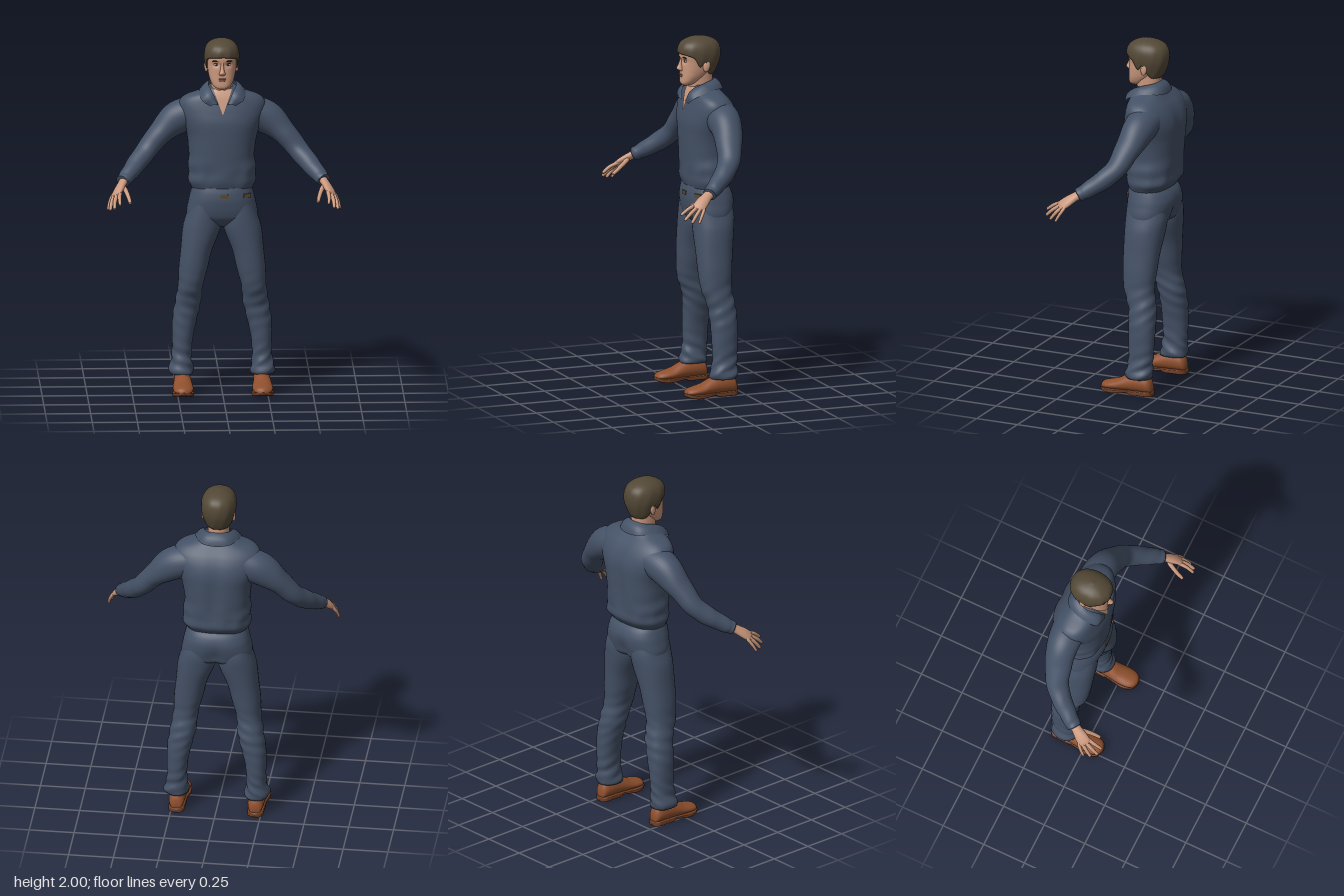
import * as THREE from 'three';
import { ParametricGeometry } from 'three/addons/geometries/ParametricGeometry.js';

const V = (x, y, z) => new THREE.Vector3(x, y, z);
const mat = (name, color, side = THREE.FrontSide) => {
  const m = new THREE.MeshStandardMaterial({ color, side });
  m.name = name;
  return m;
};
const bump = (d, w) => Math.exp(-(d * d) / (w * w));

// Smooth interpolation of rows [key, value, value, ...] sorted by key.
function profile(rows) {
  return (k) => {
    let i = 0;
    while (i < rows.length - 2 && k > rows[i + 1][0]) i++;
    const a = rows[i], b = rows[i + 1], p = rows[Math.max(i - 1, 0)], n = rows[Math.min(i + 2, rows.length - 1)];
    const h = b[0] - a[0], t = THREE.MathUtils.clamp((k - a[0]) / h, 0, 1), t2 = t * t, t3 = t2 * t;
    return a.slice(1).map((av, j) => {
      const bv = b[j + 1];
      const ma = (bv - p[j + 1]) / (b[0] - p[0]) * h, mb = (n[j + 1] - av) / (n[0] - a[0]) * h;
      return (2 * t3 - 3 * t2 + 1) * av + (t3 - 2 * t2 + t) * ma + (3 * t2 - 2 * t3) * bv + (t3 - t2) * mb;
    });
  };
}

// Superellipse point on the unit ring.
const ring = (a, e) => [Math.cos(a), Math.sin(a)].map((c) => Math.sign(c) * Math.abs(c) ** (2 / e));

// Closed skin of rings: fn(angle, v) gives a point; both ends are capped.
function skinRings(nu, nv, fn) {
  const pos = [], idx = [];
  const ends = [V(0, 0, 0), V(0, 0, 0)];
  for (let j = 0; j <= nv; j++) for (let i = 0; i < nu; i++) {
    const p = fn((i / nu) * Math.PI * 2, j / nv);
    pos.push(p.x, p.y, p.z);
    if (j === 0) ends[0].addScaledVector(p, 1 / nu);
    if (j === nv) ends[1].addScaledVector(p, 1 / nu);
  }
  ends.forEach((p) => pos.push(p.x, p.y, p.z));
  const c = (nv + 1) * nu;
  for (let i = 0; i < nu; i++) {
    const k = (i + 1) % nu;
    for (let j = 0; j < nv; j++) {
      const a = j * nu + i, b = j * nu + k;
      idx.push(a, b, a + nu, b, b + nu, a + nu);
    }
    idx.push(c, k, i, c + 1, nv * nu + i, nv * nu + k);
  }
  // Turn the faces outward
  let vol = 0;
  const P = (i) => V(pos[3 * i], pos[3 * i + 1], pos[3 * i + 2]);
  for (let i = 0; i < idx.length; i += 3) vol += P(idx[i]).dot(P(idx[i + 1]).cross(P(idx[i + 2])));
  if (vol < 0) idx.reverse();
  const g = new THREE.BufferGeometry();
  g.setAttribute('position', new THREE.Float32BufferAttribute(pos, 3));
  g.setIndex(idx);
  g.computeVertexNormals();
  return g;
}

// Upright loft from rows [y, centreX, halfWidth, zFront, zBack].
function upright(rows, { s = 1, e = 2.3, nu = 40, nv = 40, tweak } = {}) {
  const f = profile(rows), y0 = rows[0][0], y1 = rows[rows.length - 1][0];
  return skinRings(nu, nv, (a, v) => {
    const y = y0 + (y1 - y0) * v, [cx, rx, zf, zb] = f(y), [c, d] = ring(a, e);
    const p = V(s * (cx + rx * c), y, (zf + zb) / 2 + d * (zf - zb) / 2);
    if (tweak) tweak(p, a);
    return p;
  });
}

// Limb along rows [x, y, z, radiusAlongRef, radiusAcross], mirrored by s.
function limb(rows, ref, s = 1, nu = 20, nv = 24, fold = 0) {
  const curve = new THREE.CatmullRomCurve3(rows.map((r) => V(r[0], r[1], r[2])));
  const radii = profile(rows.map((r, i) => [i / (rows.length - 1), r[3], r[4]]));
  return skinRings(nu, nv, (a, v) => {
    const t = curve.getTangent(v), [ru, rv] = radii(v);
    const u = ref.clone().addScaledVector(t, -ref.dot(t)).normalize(), w = t.clone().cross(u);
    const k = 1 + fold * Math.sin(v * 34 + 2 * Math.sin(a)) * v;
    const p = curve.getPoint(v).addScaledVector(u, ru * k * Math.cos(a)).addScaledVector(w, rv * k * Math.sin(a));
    p.x *= s;
    return p;
  });
}

export function createModel() {
  const model = new THREE.Group();
  model.name = 'standingMan';
  const cloth = mat('blueCloth', 0x445166, THREE.DoubleSide), skin = mat('skin', 0xc9977c, THREE.DoubleSide);
  const hairMat = mat('darkHair', 0x534836), leather = mat('brownLeather', 0x8f4f2d), soleMat = mat('darkSole', 0x6f3d24);
  const dark = mat('darkFeature', 0x2e241e), white = mat('eyeWhite', 0xd6ccc2), lipMat = mat('lips', 0xa86c5a);
  const brass = mat('dullBrass', 0x5a4a30);
  const add = (name, geo, m, parent = model) => {
    const mesh = new THREE.Mesh(geo, m);
    mesh.name = name;
    parent.add(mesh);
    return mesh;
  };
  const blob = (name, m, parent, x, y, z, sx, sy, sz) => {
    const b = add(name, new THREE.SphereGeometry(1, 16, 10), m, parent);
    b.position.set(x, y, z);
    b.scale.set(sx, sy, sz);
    return b;
  };

  // Shirt body, with a bloused waist and a groove down the back
  const torsoRows = [[1.14, 0, .16, 0, -.205], [1.165, 0, .172, .01, -.225], [1.2, 0, .19, .018, -.252],
    [1.25, 0, .187, .02, -.255], [1.35, -.003, .183, .026, -.262], [1.45, 0, .195, .03, -.268], [1.53, 0, .222, .03, -.268],
    [1.59, 0, .24, .018, -.252], [1.64, 0, .236, .005, -.225], [1.675, 0, .2, -.005, -.195], [1.7, 0, .13, -.015, -.175],
    [1.73, 0, .07, -.03, -.16]];
  add('shirtBody', upright(torsoRows, { e: 2.4, nu: 56, nv: 60, tweak: (p, a) => {
    if (Math.sin(a) < 0) p.z += .016 * bump(p.x, .035) * bump(p.y - 1.4, .2);
    p.z += .004 * Math.sin(a * 9) * bump(p.y - 1.22, .06);
    p.x += .004 * Math.sin(p.y * 55 + a) * bump(p.y - 1.25, .09);
  } }), cloth);
  const torso = profile(torsoRows);
  const torsoZ = (x, y) => {
    const [cx, rx, zf, zb] = torso(y);
    return (zf + zb) / 2 + (zf - zb) / 2 * (1 - Math.min(1, Math.abs((x - cx) / rx)) ** 2.4) ** (1 / 2.4);
  };

  // Open neckline
  add('openNeck', new ParametricGeometry((u, v, p) => {
    const y = 1.58 + .14 * v, x = (u - .5) * .104 * v;
    p.set(x, y, torsoZ(x, y) + .007);
  }, 8, 12), skin);

  // Folded collar, swept from one front point round the neck to the other
  const around = (pts) => new THREE.CatmullRomCurve3([
    ...pts.slice(1).reverse().map((p) => V(-p[0], p[1], p[2])), ...pts.map((p) => V(...p))]);
  const inner = around([[0, 1.762, -.15], [.055, 1.758, -.132], [.077, 1.742, -.07], [.056, 1.705, 0], [.025, 1.638, .021]]);
  const outer = around([[0, 1.7, -.198], [.08, 1.706, -.18], [.125, 1.708, -.09], [.115, 1.662, .012], [.07, 1.632, .021]]);
  add('collar', new ParametricGeometry((u, v, p) => {
    p.lerpVectors(inner.getPoint(u), outer.getPoint(u), v);
    p.z += .008 * Math.sin(v * Math.PI) * (u > .25 && u < .75 ? -1 : 1);
    p.y += .008 * Math.sin(v * Math.PI);
  }, 40, 6), cloth);

  // Trouser seat and waist buckles
  const hipRows = [[.935, 0, .06, -.06, -.15], [.965, 0, .165, -.02, -.215], [1, 0, .196, .004, -.234],
    [1.08, 0, .186, .02, -.25], [1.13, 0, .174, .018, -.238], [1.17, 0, .162, .008, -.21]];
  add('trouserSeat', upright(hipRows, { e: 2.4, tweak: (p, a) => {
    if (Math.sin(a) < 0) p.z += .02 * bump(p.x, .03) * bump(p.y - 1.0, .07);
  } }), cloth);
  for (const [x, z, turn] of [[.01, .019, 0], [.135, -.012, .45]]) {
    const b = add('waistBuckle', new THREE.BoxGeometry(.045, .022, .009), brass);
    b.position.set(x, 1.12, z);
    b.rotation.y = turn;
  }

  const legRows = [[.1, .224, .064, -.05, -.2], [.12, .226, .071, -.05, -.205], [.15, .225, .062, -.055, -.203],
    [.2, .222, .055, -.065, -.205], [.3, .218, .058, -.063, -.21], [.4, .207, .068, -.06, -.212], [.5, .188, .072, -.05, -.207],
    [.6, .175, .07, -.016, -.19], [.7, .16, .081, -.005, -.197], [.8, .143, .088, 0, -.207], [.93, .112, .106, .004, -.225],
    [1, .102, .096, .004, -.232], [1.08, .093, .08, 0, -.22]];
  const uppers = profile([[-.203, .024, .075], [-.19, .038, .105], [-.15, .045, .125], [-.09, .048, .12], [-.04, .052, .1],
    [0, .056, .079], [.05, .055, .064], [.08, .045, .056], [.095, .03, .048], [.102, .01, .036]]);
  const soles = profile([[-.207, .024, 0, .026], [-.19, .042, 0, .028], [-.12, .046, 0, .026], [-.085, .047, 0, .024],
    [-.07, .047, .01, .024], [-.02, .054, .004, .022], [.03, .061, 0, .022], [.07, .054, .004, .025], [.095, .036, .011, .03],
    [.106, .01, .017, .031]]);
  const armRows = [[.14, 1.58, -.13, .085, .1], [.245, 1.54, -.13, .093, .09], [.345, 1.455, -.11, .066, .075],
    [.425, 1.36, -.075, .056, .062], [.485, 1.295, -.01, .052, .054], [.535, 1.245, .06, .042, .045], [.557, 1.225, .092, .036, .04]];
  const across = V(.55, -.3, -.75).normalize();
  // Each digit: knuckle, middle joint, tip, radius
  const digits = {
    thumb: [[.555, 1.2, .13], [.532, 1.165, .18], [.52, 1.13, .23], .012],
    indexFinger: [[.576, 1.178, .182], [.58, 1.158, .228], [.578, 1.128, .268], .0105],
    middleFinger: [[.592, 1.168, .178], [.605, 1.138, .222], [.608, 1.104, .258], .011],
    ringFinger: [[.607, 1.16, .166], [.623, 1.126, .198], [.63, 1.09, .225], .0105],
    littleFinger: [[.618, 1.154, .15], [.634, 1.12, .17], [.642, 1.086, .188], .009],
  };
  for (const s of [1, -1]) {
    const side = s > 0 ? 'left' : 'right';
    // Trouser leg with folds at knee and hem
    add(side + 'TrouserLeg', upright(legRows, { s, e: 2.2, nu: 32, nv: 80, tweak: (p, a) => {
      const w = bump(p.y - .16, .09) + .6 * bump(p.y - .5, .12);
      p.z += .004 * w * Math.sin(p.y * 95 + 2 * a);
      p.x += .004 * w * Math.sin(p.y * 80 + 3 * a);
    } }), cloth);

    // Shoe upper and heeled sole
    const shoe = new THREE.Group();
    shoe.name = side + 'Shoe';
    shoe.position.x = s * .22;
    model.add(shoe);
    add('shoeUpper', skinRings(28, 40, (a, v) => {
      const z = -.203 + .305 * v, [rx, top] = uppers(z), [c, d] = ring(a, 2.3);
      return V(rx * c * (1 - .22 * Math.max(0, d)), .016 + (top - .016) * (d + 1) / 2, z);
    }), leather, shoe);
    add('shoeSole', skinRings(28, 44, (a, v) => {
      const z = -.207 + .313 * v, [rx, lo, hi] = soles(z), [c, d] = ring(a, 6);
      return V(rx * c, (lo + hi) / 2 + d * (hi - lo) / 2, z);
    }), soleMat, shoe);

    // Sleeve and hand
    add(side + 'Sleeve', limb(armRows, V(0, 1, 0), s, 32, 56, .03), cloth);
    const hand = new THREE.Group();
    hand.name = side + 'Hand';
    model.add(hand);
    add('palm', limb([[.545, 1.235, .075, .028, .024], [.562, 1.215, .108, .029, .021], [.582, 1.188, .145, .036, .02],
      [.597, 1.167, .172, .036, .015], [.603, 1.158, .183, .026, .008]], across, s), skin, hand);
    for (const [name, [k, m, t, r]] of Object.entries(digits)) {
      const root = k.map((c, i) => c + ([.578, 1.2, .135][i] - c) * .35), end = t.map((c, i) => c + (t[i] - m[i]) * .06);
      add(name, limb([[...root, r, r], [...k, r * 1.1, r * 1.1], [...m, r, r], [...t, r * .75, r * .75], [...end, r * .3, r * .3]],
        across, s, 12, 16), skin, hand);
    }
  }

  // Head and neck
  const head = new THREE.Group();
  head.name = 'head';
  head.position.x = -.004;
  model.add(head);
  add('neck', upright([[1.62, 0, .06, -.03, -.15], [1.7, 0, .06, -.016, -.148], [1.75, 0, .06, -.01, -.148],
    [1.84, 0, .062, -.01, -.15]], { nu: 28, nv: 12 }), skin, head);
  add('face', upright([[1.725, 0, .02, .024, -.02], [1.738, 0, .044, .035, -.05], [1.77, 0, .064, .036, -.09],
    [1.81, 0, .075, .035, -.13], [1.86, 0, .081, .035, -.16], [1.9, 0, .083, .038, -.17], [1.95, 0, .074, .02, -.165],
    [1.985, 0, .04, -.02, -.12]], { e: 2.4, nu: 64, nv: 60, tweak: (p) => {
    if (p.z > -.03) p.z -= .009 * bump(Math.abs(p.x) - .033, .018) * bump(p.y - 1.866, .014);
  } }), skin, head);
  add('nose', upright([[1.806, 0, .011, .038, .015], [1.814, 0, .019, .054, .015], [1.822, 0, .016, .062, .015],
    [1.84, 0, .011, .053, .015], [1.868, 0, .008, .042, .015], [1.89, 0, .01, .036, .015]], { e: 2, nu: 20, nv: 20 }), skin, head);
  blob('upperLip', lipMat, head, 0, 1.787, .033, .024, .005, .008);
  blob('lowerLip', lipMat, head, 0, 1.778, .032, .019, .005, .009);
  for (const s of [1, -1]) {
    blob('eye', white, head, s * .033, 1.866, .02, .014, .0065, .007);
    blob('iris', dark, head, s * .032, 1.866, .024, .006, .006, .004);
    blob('upperLid', dark, head, s * .033, 1.873, .022, .016, .0025, .006);
    blob('eyebrow', dark, head, s * .036, 1.888, .029, .022, .0045, .006).rotation.set(0, s * .2, s * -.06);
    blob('ear', skin, head, s * .084, 1.84, -.085, .011, .034, .02).rotation.set(-.15, s * -.25, 0);
  }

  // Short hair: high over the brow, sideburns, low at the nape
  const hairShape = profile([[1.77, .06, .03, -.145], [1.8, .076, .03, -.165], [1.85, .09, .036, -.186], [1.89, .097, .045, -.194],
    [1.93, .095, .048, -.192], [1.96, .083, .035, -.178], [1.98, .063, .008, -.152], [1.993, .036, -.025, -.115],
    [2, .006, -.062, -.075]]);
  const hairEdge = profile([[-1, 1.785], [-.5, 1.79], [-.22, 1.825], [0, 1.865], [.18, 1.835], [.3, 1.845], [.5, 1.888], [1, 1.908]]);
  add('hair', skinRings(64, 40, (a, v) => {
    const t = Math.min(1, v / .95), k = v > .95 ? .82 : 1, [c, d] = ring(a, 2.2);
    const y = 2 - (2 - hairEdge(Math.sin(a))[0]) * (.35 * t + .65 * t * t);
    const [rx, zf, zb] = hairShape(y), w = k * (1 + .012 * Math.sin(a * 11 + y * 30) * t);
    return V(rx * c * w, y, (zf + zb) / 2 + d * w * (zf - zb) / 2);
  }), hairMat, head);

  return model;
}
